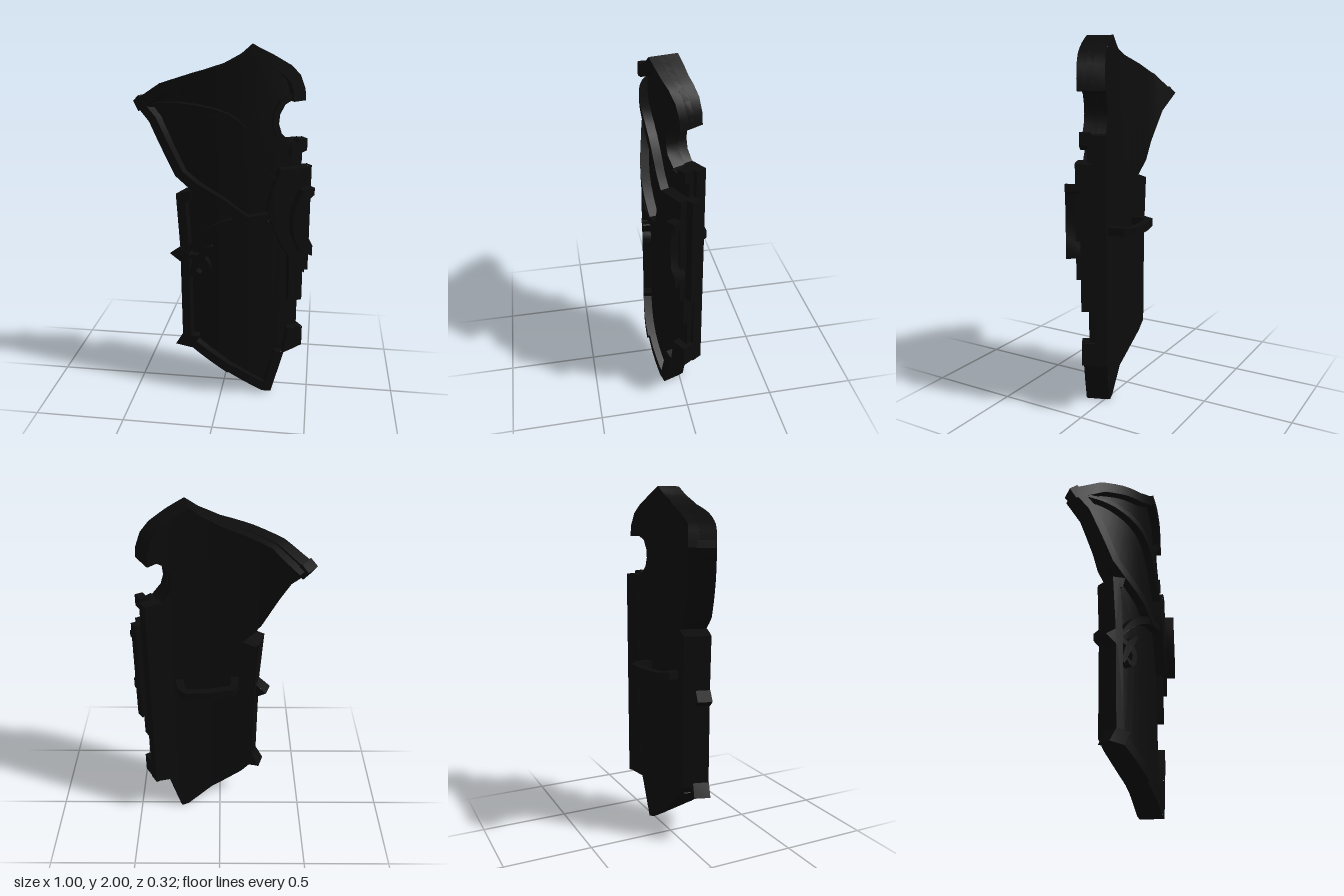
import * as THREE from 'three';
import { toCreasedNormals } from 'three/addons/utils/BufferGeometryUtils.js';

const AXIS_Z = -0.7;   // axis of the cylinder the shield is bent around
const STEP = 0.07;     // angular width of one bent strip

// Radius of the back, which is made of four flat facets
const FACETS = [-0.6, -0.35, 0.07, 0.4, 0.6];
function backRadius(angle) {
  let i = 1;
  while (i < FACETS.length - 1 && angle > FACETS[i]) i++;
  const half = (FACETS[i] - FACETS[i - 1]) / 2;
  return 0.721 * Math.cos(half) / Math.cos(angle - FACETS[i] + half);
}

// Clip a convex polygon to the half plane sign * x <= sign * limit
function clip(poly, limit, sign) {
  const out = [];
  poly.forEach((a, i) => {
    const b = poly[(i + 1) % poly.length];
    const da = sign * (limit - a[0]), db = sign * (limit - b[0]);
    if (da >= 0) out.push(a);
    if (da * db < 0) {
      const t = da / (da - db);
      out.push([limit, a[1] + t * (b[1] - a[1])]);
    }
  });
  return out;
}

// Plate with a front-view outline, wrapped between an inner and an outer radius
// (the inner one may be a function of the angle)
function bentPlate(outline, rIn, rOut) {
  let pts = outline.map(([x, y]) => new THREE.Vector2(Math.asin(x / rOut), y));
  if (THREE.ShapeUtils.isClockWise(pts)) pts = pts.reverse();
  const pos = [];
  const put = (p, radius) => {
    const r = typeof radius === 'function' ? radius(p[0]) : radius;
    pos.push(r * Math.sin(p[0]), p[1], r * Math.cos(p[0]) + AXIS_Z);
  };
  const tri = (a, ra, b, rb, c, rc) => { put(a, ra); put(b, rb); put(c, rc); };
  // front and back skins, cut into strips so they follow the curve
  for (const face of THREE.ShapeUtils.triangulateShape(pts, [])) {
    const t = face.map(i => [pts[i].x, pts[i].y]);
    const xs = t.map(p => p[0]);
    for (let k = Math.floor(Math.min(...xs) / STEP); k * STEP < Math.max(...xs); k++) {
      const cell = clip(clip(t, (k + 1) * STEP, 1), k * STEP, -1);
      for (let i = 1; i + 1 < cell.length; i++) {
        tri(cell[0], rOut, cell[i], rOut, cell[i + 1], rOut);
        tri(cell[0], rIn, cell[i + 1], rIn, cell[i], rIn);
      }
    }
  }
  // edge walls
  pts.forEach((a, i) => {
    const b = pts[(i + 1) % pts.length];
    const n = Math.max(1, Math.ceil(Math.abs(b.x - a.x) / STEP));
    for (let k = 0; k < n; k++) {
      const p = a.clone().lerp(b, k / n).toArray(), q = a.clone().lerp(b, (k + 1) / n).toArray();
      tri(p, rIn, q, rIn, q, rOut);
      tri(p, rIn, q, rOut, p, rOut);
    }
  });
  const g = new THREE.BufferGeometry();
  g.setAttribute('position', new THREE.Float32BufferAttribute(pos, 3));
  return toCreasedNormals(g, 0.5);
}

// Outline of a band along a path, between two sideways offsets
function band(path, from, to, taper = false) {
  const last = path.length - 1;
  const side = d => path.map((p, i) => {
    const a = path[Math.max(0, i - 1)], b = path[Math.min(last, i + 1)];
    const dx = b[0] - a[0], dy = b[1] - a[1], l = Math.hypot(dx, dy);
    const w = d * (taper ? 0.2 + 0.8 * Math.sin(Math.PI * i / last) : 1);
    return [p[0] - dy / l * w, p[1] + dx / l * w];
  });
  return [...side(from), ...side(to).reverse()];
}

const smooth = (path, n = 14) => new THREE.SplineCurve(path.map(p => new THREE.Vector2(...p)))
  .getPoints(n).map(p => p.toArray());

export function createModel() {
  const model = new THREE.Group();
  model.name = 'shield';
  const black = new THREE.MeshStandardMaterial({ color: 0x0c0c0c });
  black.name = 'black metal';
  const add = (name, geometry) => {
    const m = new THREE.Mesh(geometry, black);
    m.name = name;
    model.add(m);
  };
  const plate = (name, outline, rIn, rOut) => add(name, bentPlate(outline, rIn, rOut));

  // Edges, listed clockwise seen from the front
  const topEdge = [[-0.5, 1.69], [-0.42, 1.74], [-0.33, 1.8], [-0.17, 1.855], [0, 1.9], [0.11, 1.95],
    [0.18, 2], [0.27, 1.955], [0.36, 1.9], [0.405, 1.85], [0.43, 1.78], [0.435, 1.72]];
  const notch = [[0.38, 1.73], [0.33, 1.7], [0.305, 1.65], [0.3, 1.6], [0.315, 1.55], [0.36, 1.5], [0.4, 1.495]];
  const wingLeft = [[0.12, 1.06], [0, 1.15], [-0.16, 1.24], [-0.25, 1.31], [-0.4, 1.59], [-0.5, 1.69]];
  const bottomLeft = [[0.04, 0.14], [-0.17, 0.285]];
  const point = [[0.36, 0.25], [0.29, 0], [0.24, 0.01], [0.04, 0.14]];
  const leftEdge = [[-0.225, 0.34], [-0.23, 0.9], [-0.25, 1.21], [-0.16, 1.235]];

  // Recessed main panel, drawn in a little to stay under the rims
  const panel = [...topEdge, ...notch, [0.446, 1.495], [0.446, 0.27], ...point, [-0.17, 0.285],
    ...leftEdge, ...wingLeft.slice(3, -1)];
  plate('panel', panel.map(([x, y]) => [x * (x < 0 ? 0.9 : 0.942), y]), backRadius, 0.81);
  plate('sideStrip', [[0.34, 1.5], [0.422, 1.5], [0.422, 0.27], [0.34, 0.27]], 0.717, 0.78);

  // Raised rims
  plate('topRim', band(topEdge, 0, -0.06), 0.775, 0.86);
  plate('wingLeftRim', band(wingLeft, 0, -0.05), 0.765, 0.86);
  plate('notchRim', band(notch, 0, -0.03), 0.77, 0.84);
  plate('bottomRim', band(bottomLeft, 0, -0.05), 0.73, 0.86);
  plate('pointRim', band(point, 0, -0.05), 0.73, 0.849);
  plate('leftRim', band(leftEdge.slice(0, 3), 0, -0.05), 0.73, 0.86);
  plate('leftRimCap', [[-0.25, 1.21], [-0.16, 1.235], [-0.18, 1.17], [-0.245, 1.15]], 0.73, 0.86);

  // Flowing ridges
  const ridges = {
    upperRidge: [[-0.45, 1.67], [-0.25, 1.69], [0, 1.65], [0.14, 1.55], [0.24, 1.38], [0.32, 1.28]],
    crossRidge: [[0.02, 1.14], [0.12, 1.08], [0.22, 1.09], [0.34, 1.11]],
    stemRidge: [[-0.21, 0.85], [-0.12, 0.96], [0, 1.04], [0.14, 1.08], [0.3, 1.08]],
    curl: [[-0.23, 0.86], [-0.16, 0.85], [-0.1, 0.83], [-0.08, 0.78], [-0.11, 0.74], [-0.15, 0.77]],
    leaf: [[-0.05, 0.92], [-0.1, 0.87], [-0.15, 0.79], [-0.17, 0.73]],
  };
  for (const [name, path] of Object.entries(ridges))
    plate(name, band(smooth(path), 0.022, -0.022, true), 0.78, name === 'crossRidge' ? 0.862 : 0.857);

  // Thorns on the left edge
  plate('middleThorn', [[-0.295, 0.855], [-0.23, 0.905], [-0.17, 0.86], [-0.22, 0.81]], 0.78, 0.862);
  plate('lowerThorn', [[-0.27, 0.288], [-0.225, 0.365], [-0.13, 0.36], [-0.17, 0.284]], 0.77, 0.862);

  // Stepped fittings on the right edge
  plate('upperTab', [[0.37, 1.5], [0.4, 1.49], [0.41, 1.515], [0.45, 1.515], [0.45, 1.45], [0.37, 1.42]], 0.79, 0.85);
  plate('edgeBar', [[0.36, 1.36], [0.45, 1.36], [0.45, 0.575], [0.38, 0.575]], 0.74, 0.85);
  plate('lowerTab', [[0.38, 0.4], [0.46, 0.4], [0.46, 0.28], [0.36, 0.25]], 0.74, 0.85);
  plate('sideBlock', [[0.38, 1.36], [0.478, 1.36], [0.478, 0.745], [0.38, 0.78]], 0.785, 0.836);
  plate('sidePlate', [[0.46, 1.36], [0.32, 1.36], [0.28, 1.25], [0.255, 1.13], [0.29, 1.03], [0.35, 0.9],
    [0.43, 0.78], [0.46, 0.75]], 0.8, 0.873);
  plate('crescent', [[0.5, 1.26], [0.5, 1.22], [0.477, 1.2], [0.472, 1.09], [0.477, 0.98], [0.5, 0.93],
    [0.5, 0.87], [0.44, 0.9], [0.4, 0.99], [0.39, 1.07], [0.4, 1.15], [0.44, 1.25]], 0.85, 0.925);

  // Grip on the back
  const grip = [[-0.08, -0.02], [-0.085, 0.06], [-0.065, 0.105], [0.06, 0.135], [0.185, 0.14], [0.215, 0.105], [0.235, 0]];
  const gripShape = new THREE.Shape(band(grip, 0.022, -0.022).map(p => new THREE.Vector2(...p)));
  const gripGeo = new THREE.ExtrudeGeometry(gripShape, { depth: 0.045, bevelEnabled: false });
  gripGeo.rotateX(-Math.PI / 2).translate(0, 0.953, 0);
  add('grip', gripGeo);

  return model;
}
